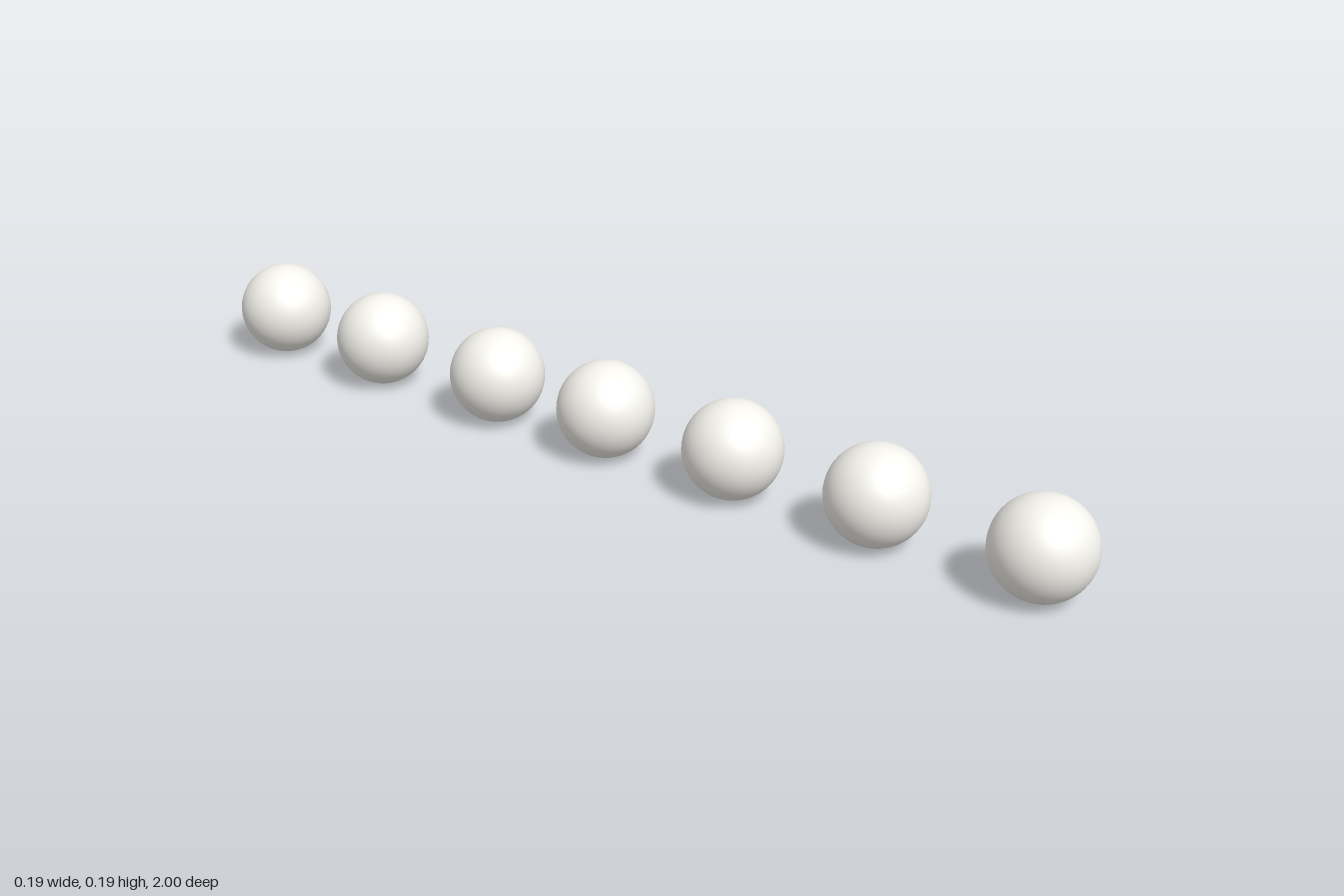
import * as THREE from 'three';

export function createModel() {
  const group = new THREE.Group();
  group.name = 'ballRow';

  const radius = 0.0955;
  const ball = new THREE.SphereGeometry(radius, 48, 32);
  const ivory = new THREE.MeshStandardMaterial({ color: 0xf4f2ec });

  // Unevenly spaced balls in a line from back to front
  const centres = [-0.9045, -0.616, -0.3, -0.025, 0.273, 0.581, 0.9045];
  centres.forEach((z, i) => {
    const mesh = new THREE.Mesh(ball, ivory);
    mesh.name = `ball${i + 1}`;
    mesh.position.set(0, radius, z);
    group.add(mesh);
  });

  return group;
}
